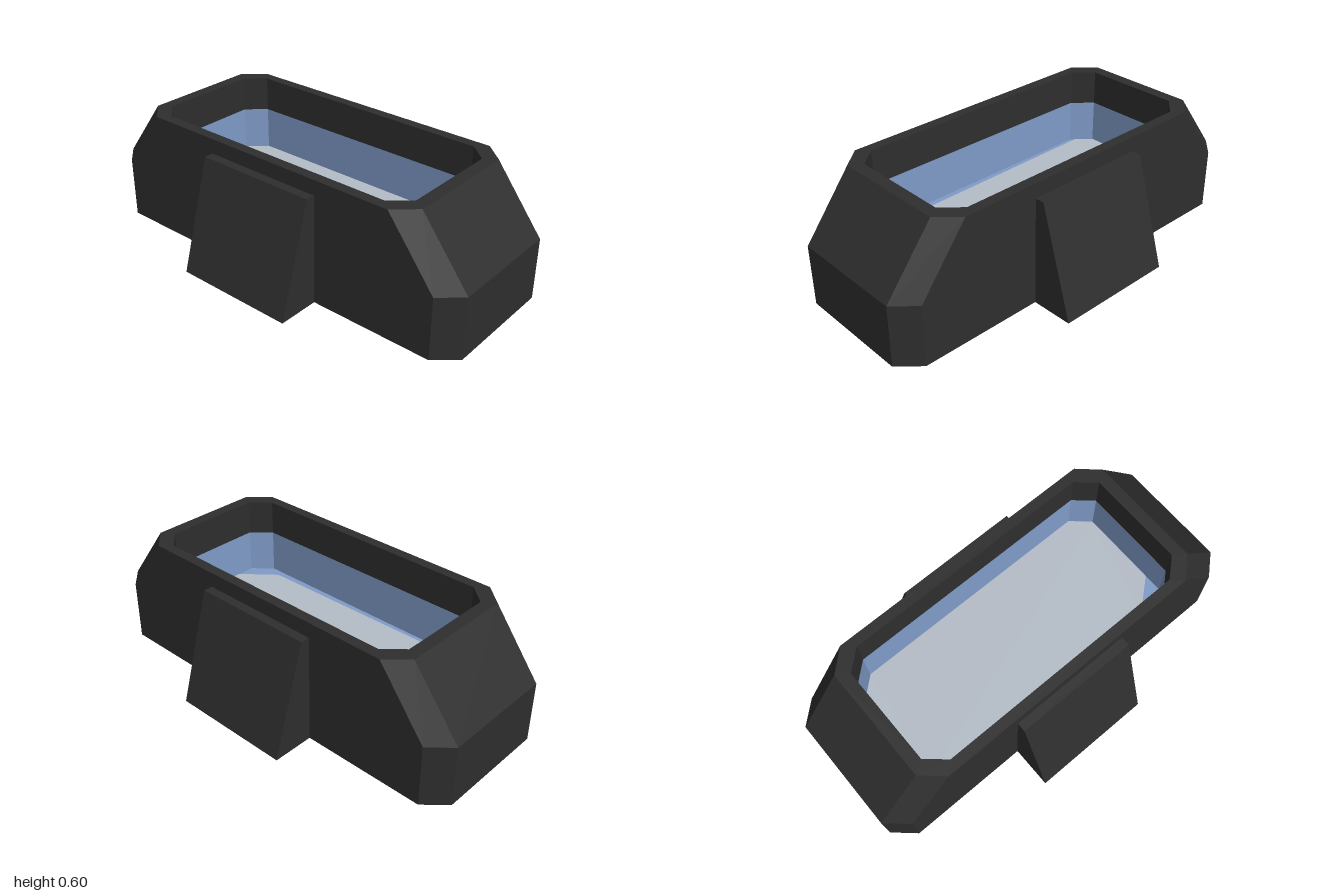
import * as THREE from 'three';

const make = (name, hex) => {
  const m = new THREE.MeshStandardMaterial({ color: hex, side: THREE.DoubleSide });
  m.name = name;
  return m;
};

// Eight-cornered outline, counter-clockwise seen from above, as [x, z] pairs.
// hx, hz are the half sizes; a, b are where the corner cuts begin.
const octagon = (hx, hz, a, b) => [
  [-a, hz], [a, hz], [hx, b], [hx, -b], [a, -hz], [-a, -hz], [-hx, -b], [-hx, b],
];

// Flat-sided skin through a list of { y, pts } cross-sections.
function loft(rings, closed = true) {
  const pos = [];
  for (let r = 0; r < rings.length - 1; r++) {
    const lo = rings[r], hi = rings[r + 1], n = lo.pts.length;
    for (let i = 0; i < (closed ? n : n - 1); i++) {
      const j = (i + 1) % n;
      const v = (ring, k) => [ring.pts[k][0], ring.y, ring.pts[k][1]];
      const a = v(lo, i), b = v(lo, j), c = v(hi, j), d = v(hi, i);
      pos.push(...a, ...b, ...c, ...a, ...c, ...d);
    }
  }
  const g = new THREE.BufferGeometry();
  g.setAttribute('position', new THREE.Float32BufferAttribute(pos, 3));
  g.computeVertexNormals();
  return g;
}

// Thin horizontal plate from [x, z] pairs, centred on height y.
function plate(pts, y, depth) {
  const shape = new THREE.Shape(pts.map(([x, z]) => new THREE.Vector2(x, z)));
  const g = new THREE.ExtrudeGeometry(shape, { depth, bevelEnabled: false });
  g.rotateX(Math.PI / 2);
  g.translate(0, y + depth / 2, 0);
  return g;
}

export function createModel() {
  const group = new THREE.Group();
  const dark = make('charcoal', 0x2e2e2e);
  const blue = make('blue lining', 0x809cc9);
  const pale = make('pale floor', 0xb5bdc7);
  const add = (name, geometry, material) => {
    const mesh = new THREE.Mesh(geometry, material);
    mesh.name = name;
    group.add(mesh);
    return mesh;
  };

  const base = octagon(0.37, 1, 0.28, 0.9);
  const opening = octagon(0.32, 0.71, 0.24, 0.62);
  const liningY = 0.43, floorY = 0.215;

  // Hull shell: upright skirt, sloped ends, flat rim, upper inside wall
  add('hull', loft([
    { y: 0, pts: base },
    { y: 0.3, pts: base },
    { y: 0.6, pts: octagon(0.37, 0.768, 0.28, 0.67) },
    { y: 0.6, pts: opening },
    { y: liningY, pts: opening },
  ]), dark);

  // Basin lining and floor
  add('basinLining', loft([
    { y: liningY, pts: opening },
    { y: floorY, pts: opening },
  ]), blue);
  add('basinFloor', plate(opening, floorY, 0.002), blue);

  // Pale floor panel, leaving a blue strip along one side and corner
  add('floorPanel', plate([
    [-0.15, 0.708], [0.238, 0.708], [0.318, 0.619], [0.318, -0.619],
    [0.238, -0.708], [-0.238, -0.708], [-0.3, -0.64], [-0.285, 0.55],
  ], floorY, 0.008), pale);

  // Sloped side buttresses, open underneath
  const buttress = (x) => [[0.37, 0.3], [x, 0.3], [x, -0.3], [0.37, -0.3]];
  const side = loft([
    { y: 0, pts: buttress(0.573) },
    { y: 0.528, pts: buttress(0.414) },
    { y: 0.528, pts: buttress(0.37) },
  ], false);
  add('leftButtress', side, dark);
  add('rightButtress', side, dark).rotation.y = Math.PI;

  return group;
}
